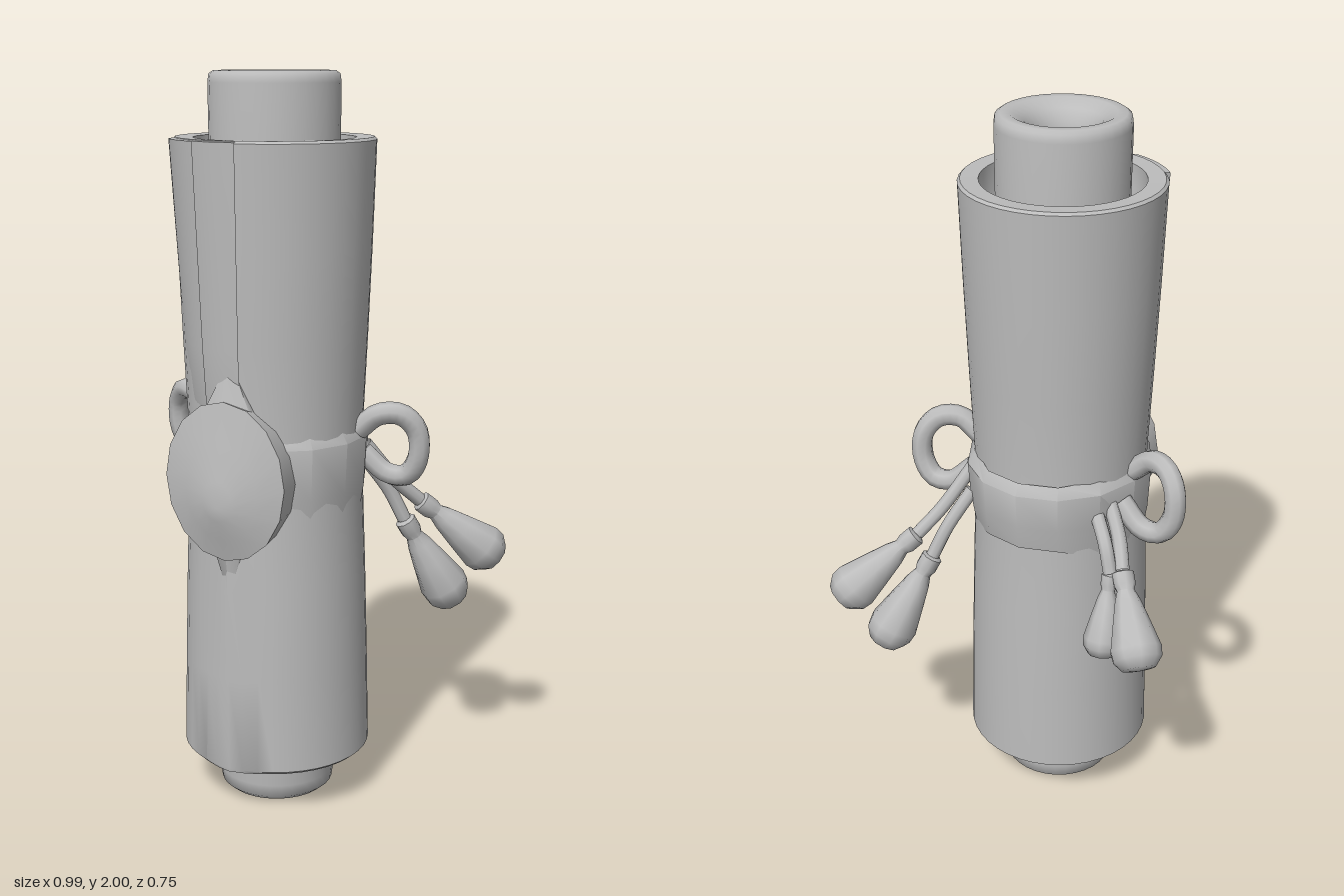
import * as THREE from 'three';
import { toCreasedNormals } from 'three/addons/utils/BufferGeometryUtils.js';

const CX = -0.045, CZ = 0.058; // scroll axis
const V = (a) => new THREE.Vector3(...a);

export function createModel() {
  const model = new THREE.Group();
  model.name = 'tiedScroll';
  const grey = new THREE.MeshStandardMaterial({ color: 0xbcbcbc, side: THREE.DoubleSide });
  grey.name = 'plain grey';

  const add = (name, geometry, parent = model) => {
    const mesh = new THREE.Mesh(geometry, grey);
    mesh.name = name;
    parent.add(mesh);
    return mesh;
  };
  const lathe = (pts, segments, start = 0, length = Math.PI * 2) =>
    new THREE.LatheGeometry(pts.map(([r, y]) => new THREE.Vector2(r, y)), segments, start, length);
  const bend = (geometry, rule) => {
    const p = geometry.attributes.position, v = new THREE.Vector3();
    for (let i = 0; i < p.count; i++) {
      rule(v.fromBufferAttribute(p, i));
      p.setXYZ(i, v.x, v.y, v.z);
    }
    geometry.computeVertexNormals();
    return geometry;
  };
  const onAxis = (mesh) => mesh.position.set(CX, 0, CZ);

  // Hollow core rod with rounded ends
  onAxis(add('coreRod', toCreasedNormals(lathe([
    [0.075, 1.92], [0.075, 0.08], [0.085, 0.03], [0.11, 0.005], [0.14, 0], [0.158, 0.015], [0.163, 0.05],
    [0.175, 1.97], [0.172, 1.992], [0.16, 2], [0.135, 2], [0.1, 1.98], [0.08, 1.95], [0.075, 1.92],
  ], 32), 0.9)));

  // Rolled paper, waisted at the middle, with a fold fanning out below the seal
  const paper = lathe([
    [0.165, 0.3], [0.2, 0.25], [0.205, 0.15], [0.225, 0.13], [0.25, 0.13], [0.262, 0.14],
    [0.256, 0.4], [0.249, 0.65], [0.24, 0.9], [0.24, 1.08], [0.25, 1.3], [0.26, 1.55],
    [0.269, 1.825], [0.262, 1.832], [0.215, 1.83], [0.21, 1.7], [0.17, 1.65],
  ], 40);
  bend(paper, (v) => {
    if (v.y < 1 && v.z > 0.22) {
      const width = 0.1 - 0.06 * v.y;
      v.z += Math.max(0, 1 - Math.abs(v.x) / width) * Math.max(0, 0.266 - v.z);
    }
  });
  onAxis(add('rolledPaper', toCreasedNormals(paper, 0.8)));

  // Overlapping loose edges of the sheet on the upper front
  [[-0.95, 0.62, 0.01], [-0.36, 0.5, 0.005]].forEach(([start, length, lift], i) => {
    const sheet = lathe([
      [0.238, 1.1], [0.241 + lift, 1.15], [0.25 + lift, 1.3], [0.269 + lift, 1.828], [0.262, 1.83],
    ], 8, start, length);
    bend(sheet, (v) => { v.x *= 1 - 0.15 * (1.83 - v.y); });
    onAxis(add('paperEdge' + (i + 1), toCreasedNormals(sheet, 0.8)));
  });

  // Ribbon wrapped round the waist
  const band = lathe([[0.238, 0.83], [0.249, 0.9], [0.256, 1.04], [0.238, 1.07]], 14);
  bend(band, (v) => { if (v.z < -0.15) { v.z *= 1.08; v.y += v.y < 0.95 ? 0.04 : 0; } });
  onAxis(add('ribbonBand', toCreasedNormals(band, 0.7)));

  // Domed seal with a pointed drip at the bottom
  const seal = lathe([[0.85, -0.13], [1, 0], [0.6, 0.018], [0.25, 0.036], [0, 0.043]], 16);
  seal.rotateX(Math.PI / 2);
  bend(seal, (v) => {
    const rim = Math.hypot(v.x, v.y);
    v.x *= 0.18;
    v.y = v.y * 0.215 - 0.06 * Math.max(0, 1 - rim);
    if (v.z < -0.05) v.z -= 0.01;
  });
  add('seal', toCreasedNormals(seal, 0.8)).position.set(CX, 0.955, 0.333);
  const drip = new THREE.ConeGeometry(0.07, 0.22, 6);
  drip.rotateX(Math.PI).scale(1, 1, 0.5);
  add('sealDrip', drip).position.set(CX, 0.73, 0.31);
  const crest = new THREE.ConeGeometry(0.09, 0.16, 6);
  crest.scale(1, 1, 0.5);
  add('sealCrest', crest).position.set(CX, 1.2, 0.295);

  // Cord bow loops, mirrored about the scroll axis
  const tube = (pts, radius) =>
    new THREE.TubeGeometry(new THREE.CatmullRomCurve3(pts.map(V)), 24, radius, 8);
  for (const side of [1, -1]) {
    const loop = [
      [0.235, 1.06, 0.02], [0.29, 1.105, 0.012], [0.345, 1.105, -0.015], [0.38, 1.06, -0.04],
      [0.38, 0.98, -0.048], [0.345, 0.93, -0.05], [0.29, 0.93, -0.045], [0.225, 0.985, -0.03],
    ].map(([x, y, z]) => [CX + side * x, y, z]);
    add(side > 0 ? 'leftBowLoop' : 'rightBowLoop', tube(loop, 0.03));
  }

  // Hanging cords, each ending in a tassel: cord start, bend, neck, tassel end
  const tassels = [
    ['leftOuter', [0.17, 1.0, -0.06], [0.23, 0.89, -0.13], [0.28, 0.82, -0.19], [0.46, 0.635, -0.335], 1],
    ['leftInner', [0.15, 0.95, -0.1], [0.2, 0.85, -0.155], [0.235, 0.76, -0.185], [0.345, 0.495, -0.3], 1],
    ['rightOuter', [-0.25, 0.99, -0.06], [-0.3, 0.92, -0.11], [-0.335, 0.86, -0.165], [-0.455, 0.67, -0.315], 1],
    ['rightInner', [-0.23, 0.97, -0.1], [-0.28, 0.92, -0.155], [-0.305, 0.85, -0.175], [-0.315, 0.63, -0.25], 0.75],
  ];
  const profile = [
    [0.015, 0], [0.03, 0.02], [0.03, 0.14], [0.024, 0.2], [0.035, 0.3], [0.05, 0.5],
    [0.07, 0.78], [0.067, 0.88], [0.045, 0.98], [0, 1],
  ];
  for (const [name, start, mid, neck, end, width] of tassels) {
    const group = new THREE.Group();
    group.name = name + 'Tassel';
    model.add(group);
    add('cord', tube([start, mid, neck], 0.02), group);
    const along = V(end).sub(V(neck));
    const length = along.length();
    const head = add('tasselHead', toCreasedNormals(
      lathe(profile.map(([r, t]) => [r * width, t * length]), 9), 0.9), group);
    head.position.copy(V(neck));
    head.quaternion.setFromUnitVectors(new THREE.Vector3(0, 1, 0), along.normalize());
  }
  return model;
}
